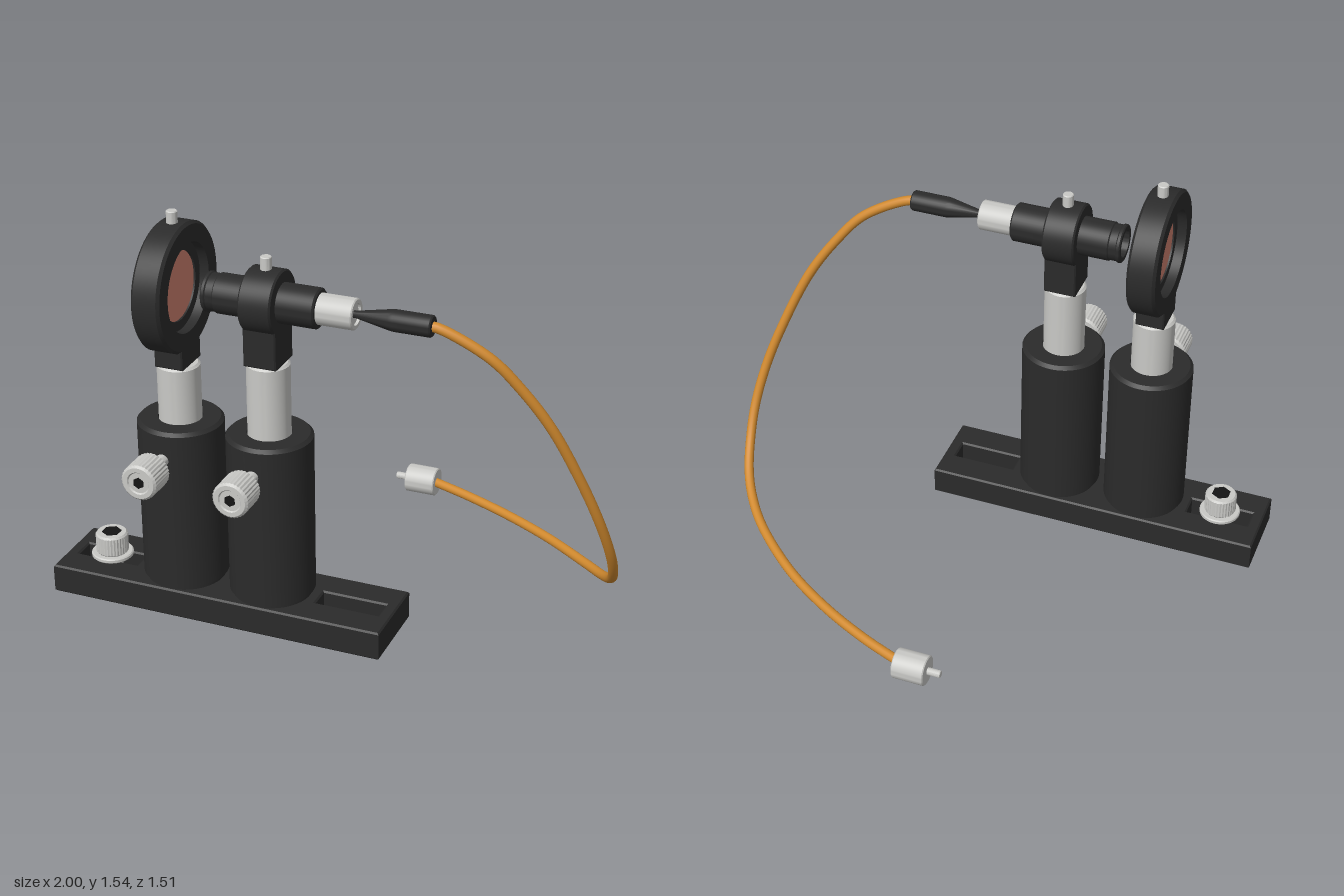
import * as THREE from 'three';
import { toCreasedNormals } from 'three/addons/utils/BufferGeometryUtils.js';

const material = (name, color) => {
  const m = new THREE.MeshStandardMaterial({ color });
  m.name = name;
  return m;
};

export function createModel() {
  const black = material('anodised black', 0x2b2b2b);
  const steel = material('steel', 0xc9c9c6);
  const amber = material('amber jacket', 0xd0892e);
  const pink = material('coated glass', 0xd08270);
  const socketBlack = material('socket dark', 0x141414);

  const model = new THREE.Group();
  model.name = 'fibreCollimatorBench';
  const Z = 0.41, AXIS_Y = 1.265;

  const add = (name, geometry, mat, x = 0, y = 0, z = 0, parent = model) => {
    const mesh = new THREE.Mesh(geometry, mat);
    mesh.name = name;
    mesh.position.set(x, y, z);
    parent.add(mesh);
    return mesh;
  };

  // Turned part: profile of [radius, height], turned to lie along an axis
  const turned = (profile, axis = 'y', segments = 48, knurlFrom = 0) => {
    const g = new THREE.LatheGeometry(profile.map(([r, h]) => new THREE.Vector2(r, h)), segments);
    if (knurlFrom) {
      const p = g.attributes.position, rows = profile.length;
      for (let i = 0; i < p.count; i++) {
        const r = Math.hypot(p.getX(i), p.getZ(i));
        if (r > knurlFrom && Math.floor(i / rows) % 2) {
          p.setX(i, p.getX(i) * 0.965);
          p.setZ(i, p.getZ(i) * 0.965);
        }
      }
    }
    if (axis === 'x') g.rotateZ(-Math.PI / 2);
    if (axis === 'z') g.rotateX(Math.PI / 2);
    return toCreasedNormals(g, 0.5);
  };

  // Solid rod profile with chamfered ends
  const rod = (r, a, b, c = 0.006) =>
    [[0, a], [r - c, a], [r, a + c], [r, b - c], [r - c, b], [0, b]];

  // Extruded outline with a small bevel
  const bevelled = (shape, depth, bevel) => {
    const g = new THREE.ExtrudeGeometry(shape, {
      depth: depth - 2 * bevel, bevelEnabled: true, bevelSize: bevel,
      bevelThickness: bevel, bevelOffset: -bevel, bevelSegments: 1,
    });
    return g.translate(0, 0, bevel);
  };
  const rect = (Type, x0, x1, y0, y1) => new Type([
    new THREE.Vector2(x0, y0), new THREE.Vector2(x1, y0),
    new THREE.Vector2(x1, y1), new THREE.Vector2(x0, y1),
  ]);

  // Base plate with two through slots
  const plate = rect(THREE.Shape, -1, 0.28, -0.153, 0.153);
  for (const x of [-0.835, 0.115]) plate.holes.push(rect(THREE.Path, x - 0.12, x + 0.12, -0.04, 0.04));
  add('basePlate', bevelled(plate, 0.11, 0.006).rotateX(-Math.PI / 2), black, 0, 0.03, Z);

  // Cap bolt and washer in the left slot
  const bolt = new THREE.Group();
  bolt.name = 'baseBolt';
  bolt.position.set(-0.835, 0, Z);
  model.add(bolt);
  add('washer', turned(rod(0.077, 0.14, 0.158, 0.004)), steel, 0, 0, 0, bolt);
  add('boltShank', turned(rod(0.036, 0.035, 0.15)), steel, 0, 0, 0, bolt);
  add('boltHead', turned(rod(0.06, 0.155, 0.236, 0.007), 'y', 64, 0.055), steel, 0, 0, 0, bolt);
  add('boltSocket', turned([[0.036, 0.232], [0.036, 0.238], [0, 0.238]], 'y', 6), socketBlack, 0, 0, 0, bolt);

  // Post holders, sliding posts and thumbscrews
  for (const [x, top, side] of [[-0.53, 0.98, 'lens'], [-0.187, 1.04, 'collimator']]) {
    const g = new THREE.Group();
    g.name = side + 'PostAssembly';
    g.position.set(x, 0, Z);
    model.add(g);
    add('postHolder', turned([
      [0, 0.138], [0.145, 0.138], [0.145, 0.15], [0.155, 0.156], [0.155, 0.758],
      [0.143, 0.77], [0.08, 0.77], [0.08, 0.76], [0, 0.76],
    ], 'y', 64), black, 0, 0, 0, g);
    add('post', turned(rod(0.077, 0.7, top, 0.008)), steel, 0, 0, 0, g);
    add('thumbscrewShaft', turned(rod(0.023, 0.13, 0.24, 0.003), 'z', 24), steel, 0, 0.665, 0, g);
    add('thumbscrewHead', turned([
      [0, 0.226], [0.058, 0.226], [0.067, 0.234], [0.067, 0.332],
      [0.058, 0.34], [0.042, 0.34], [0.038, 0.335], [0, 0.335],
    ], 'z', 64, 0.062), steel, 0, 0.665, 0, g);
    add('thumbscrewSocket', turned([[0.021, 0.333], [0.021, 0.338], [0, 0.338]], 'z', 6),
      socketBlack, 0, 0.665, 0, g);
  }

  // Round lens mount: stepped ring, lens, stem and set screw
  const stem = (name, x, width, y0, y1) => add(name,
    bevelled(rect(THREE.Shape, -width / 2, width / 2, y0, y1), 0.15, 0.005), black, x, 0, Z - 0.075);
  add('lensRing', turned([
    [0.125, -0.018], [0.16, -0.018], [0.16, -0.053], [0.222, -0.053], [0.232, -0.043],
    [0.232, 0.043], [0.222, 0.053], [0.16, 0.053], [0.16, 0.018], [0.125, 0.018], [0.125, -0.018],
  ], 'x', 72), black, -0.532, AXIS_Y, Z);
  add('lens', turned(rod(0.126, -0.012, 0.012, 0.002), 'x', 64), pink, -0.532, AXIS_Y, Z);
  stem('lensStem', -0.532, 0.106, 0.98, 1.07);
  add('lensSetScrew', turned(rod(0.02, 1.47, 1.54, 0.003), 'y', 20), steel, -0.532, 0, Z);

  // Collimator clamp
  add('collimatorClamp', turned(rod(0.115, -0.06, 0.06), 'x', 64), black, -0.187, AXIS_Y, Z);
  stem('clampStem', -0.187, 0.12, 1.04, 1.23);
  add('clampSetScrew', turned(rod(0.02, 1.36, 1.425, 0.003), 'y', 20), steel, -0.187, 0, Z);

  // Collimator barrel, open at the lens end
  add('collimatorBarrel', turned([
    [0, -0.36], [0.05, -0.36], [0.05, -0.405], [0.067, -0.405], [0.071, -0.401], [0.071, -0.392],
    [0.067, -0.388], [0.067, -0.362], [0.071, -0.358], [0.071, 0.004], [0.065, 0.01], [0, 0.01],
  ], 'x'), black, 0, AXIS_Y, Z);

  // Fibre connector and tapered strain relief
  add('fibreConnector', turned([
    [0, 0], [0.055, 0.0], [0.055, 0.136], [0.051, 0.14], [0.038, 0.14], [0.038, 0.13], [0, 0.13],
  ], 'x'), steel, 0, AXIS_Y, Z);
  add('strainRelief', turned([
    [0, 0.125], [0.013, 0.125], [0.013, 0.14], [0.036, 0.26], [0.038, 0.275],
    [0.038, 0.405], [0.034, 0.41], [0, 0.41],
  ], 'x', 32), black, 0, AXIS_Y, Z);

  // Fibre cable
  const path = new THREE.CatmullRomCurve3([
    [0.38, 1.265, 0.41], [0.43, 1.26, 0.408], [0.6, 1.17, 0.383], [0.7, 1.06, 0.35], [0.8, 0.91, 0.308],
    [0.9, 0.68, 0.243], [0.955, 0.51, 0.19], [0.98, 0.36, 0.125], [0.972, 0.25, 0.05], [0.94, 0.175, -0.04],
    [0.89, 0.13, -0.125], [0.8, 0.097, -0.235], [0.6, 0.072, -0.41], [0.4, 0.063, -0.537],
    [0.2, 0.06, -0.635], [0.02, 0.06, -0.705],
  ].map((p) => new THREE.Vector3(...p)));
  add('fibreCable', new THREE.TubeGeometry(path, 120, 0.018, 16), amber);

  // Free connector at the loose end
  add('looseConnector', turned(rod(0.056, -0.08, 0.043, 0.004), 'x'), steel, 0, 0.058, -0.705);
  add('looseFerrule', turned(rod(0.014, -0.13, -0.07, 0.002), 'x', 20), steel, 0, 0.058, -0.705);

  return model;
}
